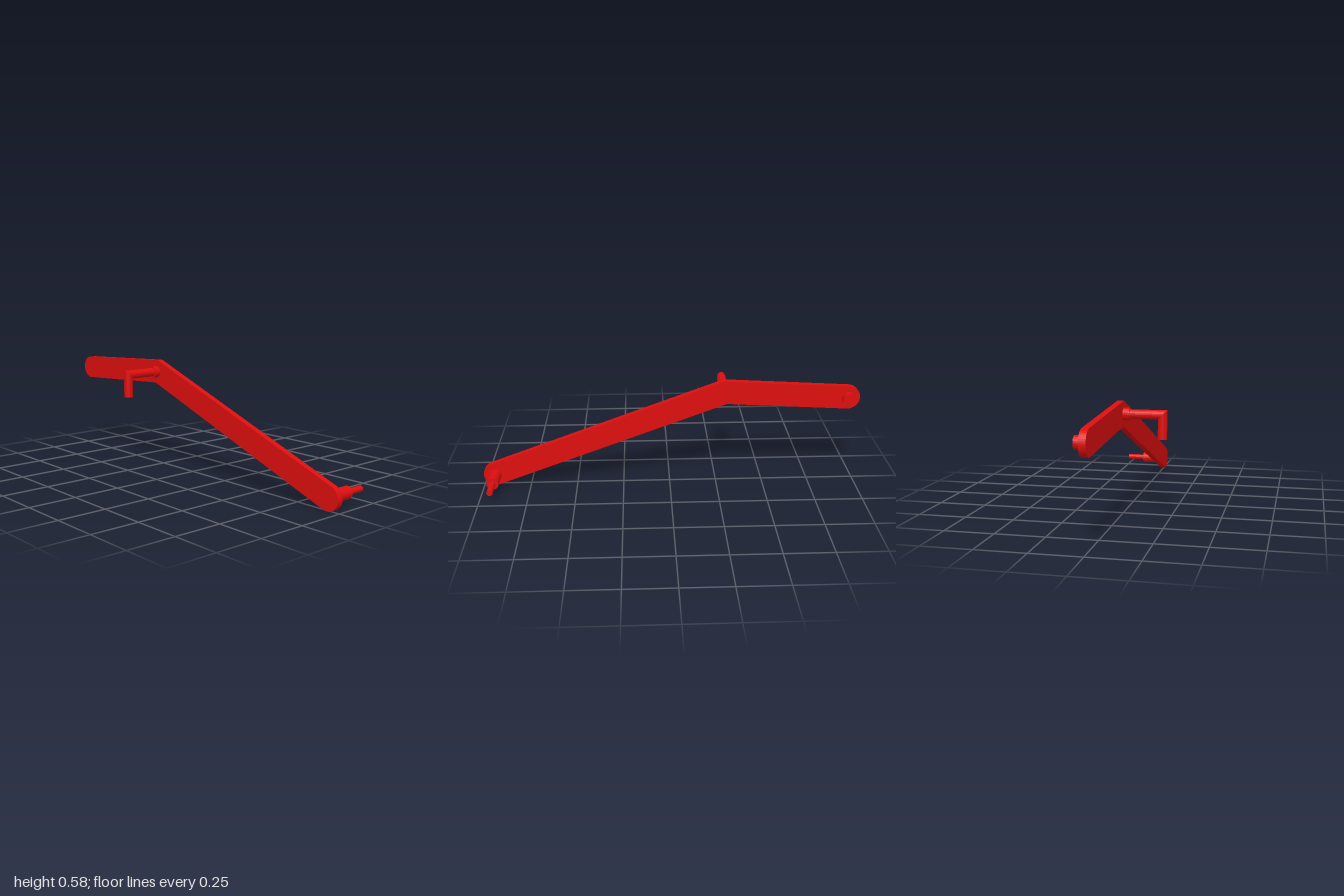
import * as THREE from 'three';

const SIDES = 20;
const red = new THREE.MeshStandardMaterial({ color: 0xdd0e0e, flatShading: true });

const R = 0.0625; // half width of the bar
const LEFT = new THREE.Vector2(-0.9375, 0.479);
const ELBOW = new THREE.Vector2(-0.29, 0.5165);
const RIGHT = new THREE.Vector2(0.9375, 0.0635);
const BACK = -0.02, FRONT = 0.013;

function part(name, geometry) {
  const mesh = new THREE.Mesh(geometry, red);
  mesh.name = name;
  return mesh;
}

// Round pin along z, centred on a point of the bar
function pin(name, at, radius, z0, z1) {
  const g = new THREE.CylinderGeometry(radius, radius, z1 - z0, SIDES);
  g.rotateX(Math.PI / 2).translate(at.x, at.y, (z0 + z1) / 2);
  return part(name, g);
}

// Bent flat bar with rounded ends
function bar() {
  const a1 = ELBOW.clone().sub(LEFT).angle();
  const a2 = RIGHT.clone().sub(ELBOW).angle() - Math.PI * 2;
  const q = Math.PI / 2;
  const s = new THREE.Shape();
  s.absarc(LEFT.x, LEFT.y, R, a1 + 3 * q, a1 + q, true);
  s.absarc(ELBOW.x, ELBOW.y, R, a1 + q, a2 + q, true);
  s.absarc(RIGHT.x, RIGHT.y, R, a2 + q, a2 - q, true);
  const inner = R / Math.cos((a1 - a2) / 2), mid = (a1 + a2) / 2 - q;
  s.lineTo(ELBOW.x + inner * Math.cos(mid), ELBOW.y + inner * Math.sin(mid));
  s.closePath();
  const g = new THREE.ExtrudeGeometry(s, { depth: FRONT - BACK, bevelEnabled: false, curveSegments: 10 });
  return part('bentBar', g.translate(0, 0, BACK));
}

// Rod leaving the elbow and turning down through a mitred corner
function handle() {
  const group = new THREE.Group();
  group.name = 'handle';
  const r = 0.0235, zc = 0.207, yc = 0.515, x = ELBOW.x, bottom = 0.394;

  const out = new THREE.CylinderGeometry(r, r, zc - FRONT, SIDES, 1, true);
  out.rotateX(Math.PI / 2).translate(x, yc, (zc + FRONT) / 2);
  const p = out.attributes.position;
  for (let i = 0; i < p.count; i++) {
    if (p.getZ(i) > zc - 0.01) p.setZ(i, zc + p.getY(i) - yc);
  }

  const down = new THREE.CylinderGeometry(r, r, yc - bottom, SIDES);
  down.translate(x, (yc + bottom) / 2, zc);
  const d = down.attributes.position;
  for (let i = 0; i < d.count; i++) {
    if (d.getY(i) > yc - 0.01) d.setY(i, yc + d.getZ(i) - zc);
  }

  group.add(
    pin('handleCollar', new THREE.Vector2(x, yc), 0.0315, FRONT, 0.045),
    part('handleArm', out),
    part('handleGrip', down)
  );
  return group;
}

export function createModel() {
  const model = new THREE.Group();
  model.name = 'crankLever';
  model.add(
    bar(),
    handle(),
    pin('endKnob', LEFT, 0.032, BACK, -0.052),
    pin('pivotBoss', RIGHT, 0.032, -0.132, BACK),
    pin('pivotPin', RIGHT, 0.016, -0.229, -0.132)
  );
  // Knob is given front to back; keep its depth positive
  const knob = model.getObjectByName('endKnob');
  knob.geometry.dispose();
  knob.geometry = pin('endKnob', LEFT, 0.032, -0.052, BACK).geometry;
  return model;
}
